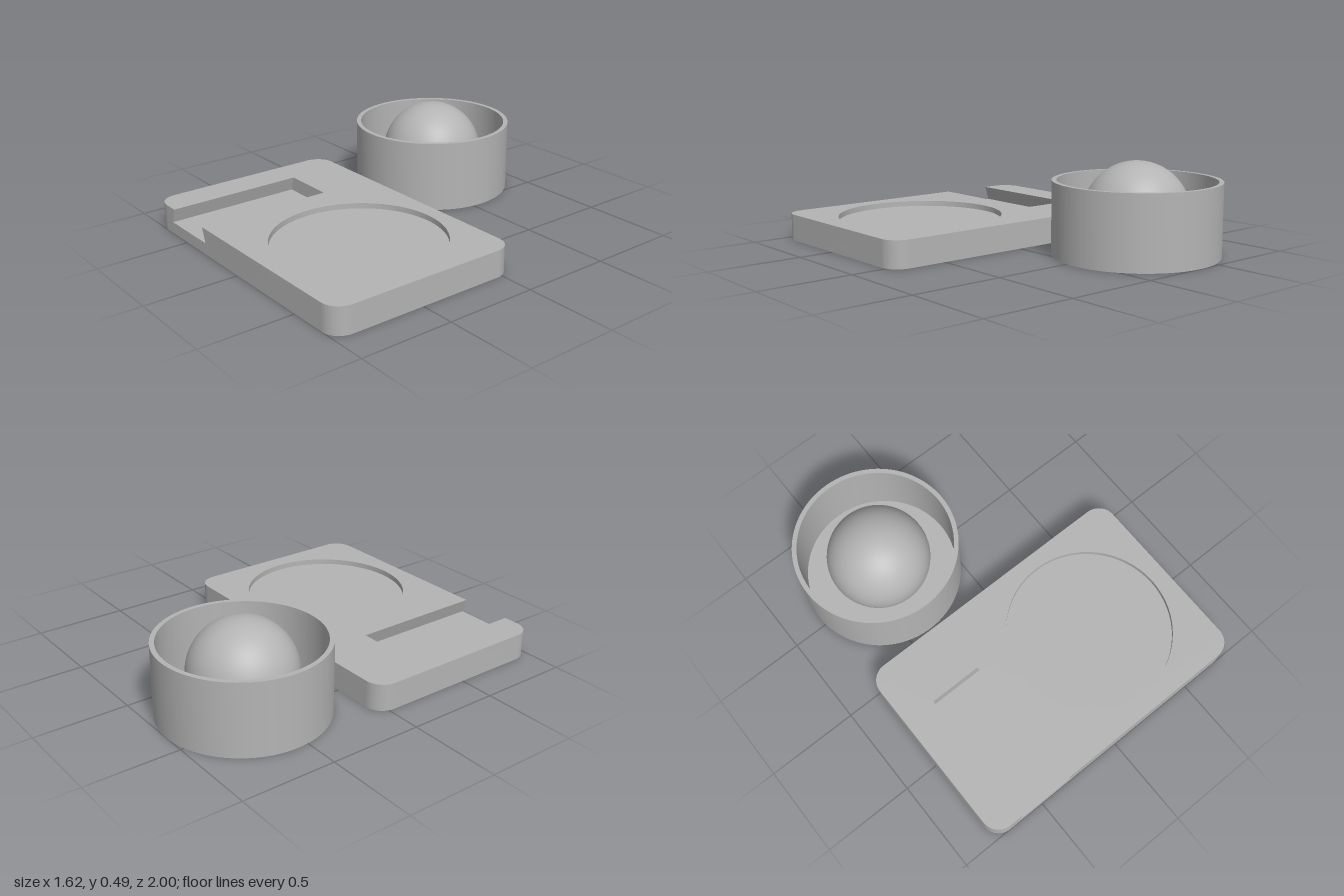
import * as THREE from 'three';
import { toCreasedNormals } from 'three/addons/utils/BufferGeometryUtils.js';

const W = 0.81, BACK = -0.07, FRONT = 1, R = 0.1;   // plate outline
const TOP = 0.145, SLOT_Y = 0.065;                  // plate top, slot floor
const SLOT_BACK = 0.25, SLOT_TOP = [-0.625, -0.33], SLOT_LOW = [-0.65, -0.305];
const DISC = { x: 0.27, z: 0.46, r: 0.447, depth: 0.03 };
const POT = { x: -0.37, z: -0.56, r: 0.44, inner: 0.415, h: 0.39, floor: 0.03 };
const BALL = { r: 0.28, y: 0.21 };

// Rounded plate outline drawn with shape y = -z, optionally notched by the slot
function outline(notched) {
  const s = new THREE.Shape();
  s.moveTo(-W + R, -FRONT);
  if (notched) {
    s.lineTo(SLOT_TOP[0], -FRONT).lineTo(SLOT_TOP[0], -SLOT_BACK);
    s.lineTo(SLOT_TOP[1], -SLOT_BACK).lineTo(SLOT_TOP[1], -FRONT);
  }
  s.lineTo(W - R, -FRONT);
  s.absarc(W - R, -FRONT + R, R, -Math.PI / 2, 0);
  s.absarc(W - R, -BACK - R, R, 0, Math.PI / 2);
  s.absarc(-W + R, -BACK - R, R, Math.PI / 2, Math.PI);
  s.absarc(-W + R, -FRONT + R, R, Math.PI, Math.PI * 1.5);
  return s;
}

// Side walls only of an extruded outline
function walls(shape, y0, y1) {
  const g = new THREE.ExtrudeGeometry(shape, { depth: y1 - y0, bevelEnabled: false, curveSegments: 12 });
  const side = g.groups[1];
  const out = new THREE.BufferGeometry();
  const p = g.attributes.position.array.slice(side.start * 3, (side.start + side.count) * 3);
  out.setAttribute('position', new THREE.BufferAttribute(p, 3));
  return out.rotateX(-Math.PI / 2).translate(0, y0, 0);
}

// Flat horizontal face at a given height
function face(shape, y, segments = 12) {
  return new THREE.ShapeGeometry(shape, segments).rotateX(-Math.PI / 2).translate(0, y, 0);
}

export function createModel() {
  const model = new THREE.Group();
  const grey = new THREE.MeshStandardMaterial({ color: 0xb4b4b4, side: THREE.DoubleSide });
  grey.name = 'grey';
  const add = (parent, name, geometry) => {
    const mesh = new THREE.Mesh(geometry, grey);
    mesh.name = name;
    parent.add(mesh);
    return mesh;
  };

  // Plate: lower half is whole, upper half is cut by the dovetail slot
  const plate = new THREE.Group();
  plate.name = 'plate';
  add(plate, 'plateBottom', face(outline(false), 0).scale(1, 1, 1)).geometry.index.array.reverse();
  plate.children[0].geometry.computeVertexNormals();
  add(plate, 'lowerEdge', toCreasedNormals(walls(outline(false), 0, SLOT_Y), 0.6));

  // Slot walls lean outwards towards the slot floor
  const upper = walls(outline(true), SLOT_Y, TOP);
  const pos = upper.attributes.position;
  for (let i = 0; i < pos.count; i++) {
    if (pos.getY(i) > SLOT_Y + 0.01) continue;
    SLOT_TOP.forEach((x, k) => {
      if (Math.abs(pos.getX(i) - x) < 0.001) pos.setX(i, SLOT_LOW[k]);
    });
  }
  add(plate, 'upperEdgeAndSlotWalls', toCreasedNormals(upper, 0.6));

  const slotFloor = new THREE.PlaneGeometry(SLOT_LOW[1] - SLOT_LOW[0], FRONT - SLOT_BACK).rotateX(-Math.PI / 2);
  add(plate, 'slotFloor', slotFloor)
    .position.set((SLOT_LOW[0] + SLOT_LOW[1]) / 2, SLOT_Y, (FRONT + SLOT_BACK) / 2);

  // Top face with the round recess
  const top = outline(true);
  top.holes.push(new THREE.Path().absarc(DISC.x, -DISC.z, DISC.r, 0, Math.PI * 2, true));
  add(plate, 'plateTop', face(top, TOP, 48));
  add(plate, 'recessWall', new THREE.CylinderGeometry(DISC.r, DISC.r, DISC.depth, 96, 1, true))
    .position.set(DISC.x, TOP - DISC.depth / 2, DISC.z);
  add(plate, 'recessFloor', new THREE.CircleGeometry(DISC.r, 96).rotateX(-Math.PI / 2))
    .position.set(DISC.x, TOP - DISC.depth, DISC.z);
  model.add(plate);

  // Round cup with a ball rising from its floor
  const cup = new THREE.Group();
  cup.name = 'cup';
  cup.position.set(POT.x, 0, POT.z);
  const drop = BALL.y - POT.floor;
  const profile = [
    [0, 0], [POT.r, 0], [POT.r, POT.h], [POT.inner, POT.h],
    [POT.inner, POT.floor], [Math.sqrt(BALL.r ** 2 - drop ** 2), POT.floor],
  ].map(([x, y]) => new THREE.Vector2(x, y));
  add(cup, 'cupShell', toCreasedNormals(new THREE.LatheGeometry(profile, 96), 0.6));
  add(cup, 'ball', new THREE.SphereGeometry(BALL.r, 64, 40, 0, Math.PI * 2, 0, Math.acos(-drop / BALL.r)))
    .position.y = BALL.y;
  model.add(cup);

  return model;
}
